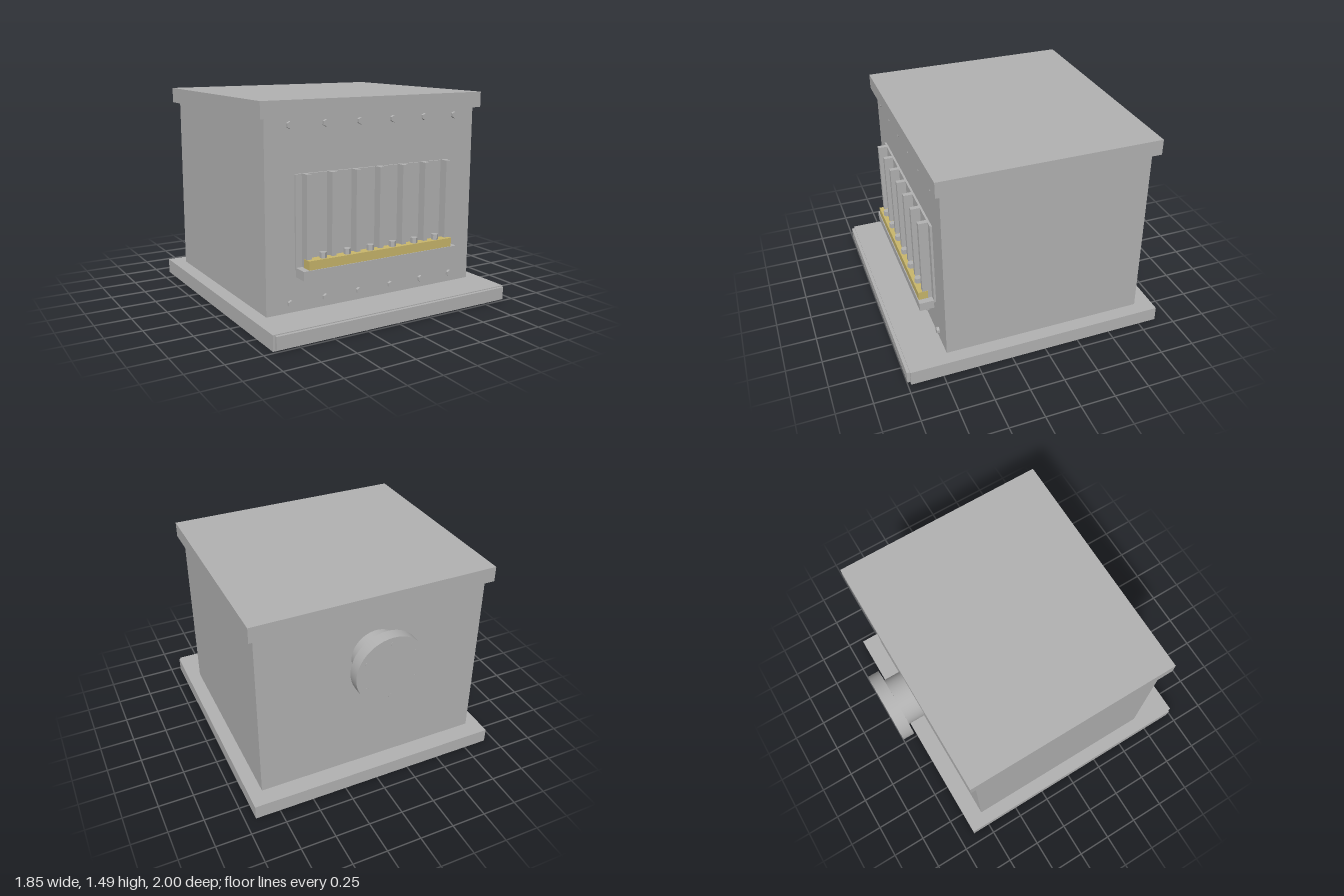
import * as THREE from 'three';

export function createModel() {
  const model = new THREE.Group();
  model.name = 'cabinet';
  const grey = new THREE.MeshStandardMaterial({ color: 0xb2b2b2 });
  grey.name = 'grey metal';
  const brass = new THREE.MeshStandardMaterial({ color: 0xc9b76c });
  brass.name = 'brass';

  const add = (name, geometry, material = grey, parent = model) => {
    const mesh = new THREE.Mesh(geometry, material);
    mesh.name = name;
    parent.add(mesh);
    return mesh;
  };
  // Box given by its minimum and maximum along each axis
  const box = (name, [x0, x1], [y0, y1], [z0, z1], material, parent) => {
    const mesh = add(name, new THREE.BoxGeometry(x1 - x0, y1 - y0, z1 - z0), material, parent);
    mesh.position.set((x0 + x1) / 2, (y0 + y1) / 2, (z0 + z1) / 2);
    return mesh;
  };
  // Round or hexagonal rod lying along z
  const rod = (name, r, x, y, z0, z1, sides, parent) => {
    const geometry = new THREE.CylinderGeometry(r, r, z1 - z0, sides).rotateX(Math.PI / 2);
    const mesh = add(name, sides < 8 ? geometry.toNonIndexed() : geometry, grey, parent);
    if (sides < 8) mesh.geometry.computeVertexNormals();
    mesh.position.set(x, y, (z0 + z1) / 2);
    return mesh;
  };
  const group = (name) => {
    const g = new THREE.Group();
    g.name = name;
    model.add(g);
    return g;
  };

  // Housing
  box('base', [-0.927, 0.927], [0, 0.106], [-0.885, 0.978]);
  box('baseFrontPlate', [-0.912, 0.912], [0.013, 0.1], [0.978, 1]);
  box('body', [-0.83, 0.83], [0.106, 1.376], [-0.758, 0.695]);
  box('lid', [-0.87, 0.87], [1.376, 1.485], [-0.805, 0.732]);

  // Grille with seven upright ribs
  const grille = group('grille');
  box('grillePanel', [-0.62, 0.62], [0.39, 1.016], [0.695, 0.71], grey, grille);
  for (let i = -3; i <= 3; i++) {
    const x = i * 0.186;
    box('grilleRib', [x - 0.017, x + 0.017], [0.405, 1.02], [0.71, 0.775], grey, grille);
  }

  // Shelf and brass bar with upright hexagonal bolts
  const shelf = group('shelf');
  box('shelfLedge', [-0.62, 0.62], [0.345, 0.407], [0.71, 0.812], grey, shelf);
  box('brassBar', [-0.577, 0.577], [0.407, 0.468], [0.738, 0.806], brass, shelf);
  const boltShape = new THREE.CylinderGeometry(0.025, 0.025, 0.04, 6).toNonIndexed();
  boltShape.computeVertexNormals();
  for (let i = 0; i < 6; i++) {
    add('barBolt', boltShape, grey, shelf).position.set(-0.455 + i * 0.182, 0.486, 0.773);
  }

  // Rows of bolts above and below the grille
  const bolts = group('frontBolts');
  for (const y of [0.17, 1.328]) {
    for (let i = 0; i < 6; i++) {
      rod('frontBolt', 0.024, -0.655 + i * 0.262, y, 0.695, 0.715, 6, bolts);
    }
  }

  // Rear pipe outlet with its bolted flange
  const outlet = group('rearOutlet');
  rod('outletStem', 0.05, 0, 1.04, -0.785, -0.758, 24, outlet);
  rod('outletPipe', 0.175, 0, 1.04, -0.92, -0.782, 48, outlet);
  rod('outletFlange', 0.25, 0, 1.04, -0.999, -0.917, 48, outlet);
  for (let i = 0; i < 6; i++) {
    const a = Math.PI / 6 + i * Math.PI / 3;
    rod('flangeBolt', 0.015, 0.2 * Math.cos(a), 1.04 + 0.2 * Math.sin(a), -1, -0.914, 12, outlet);
  }
  return model;
}
